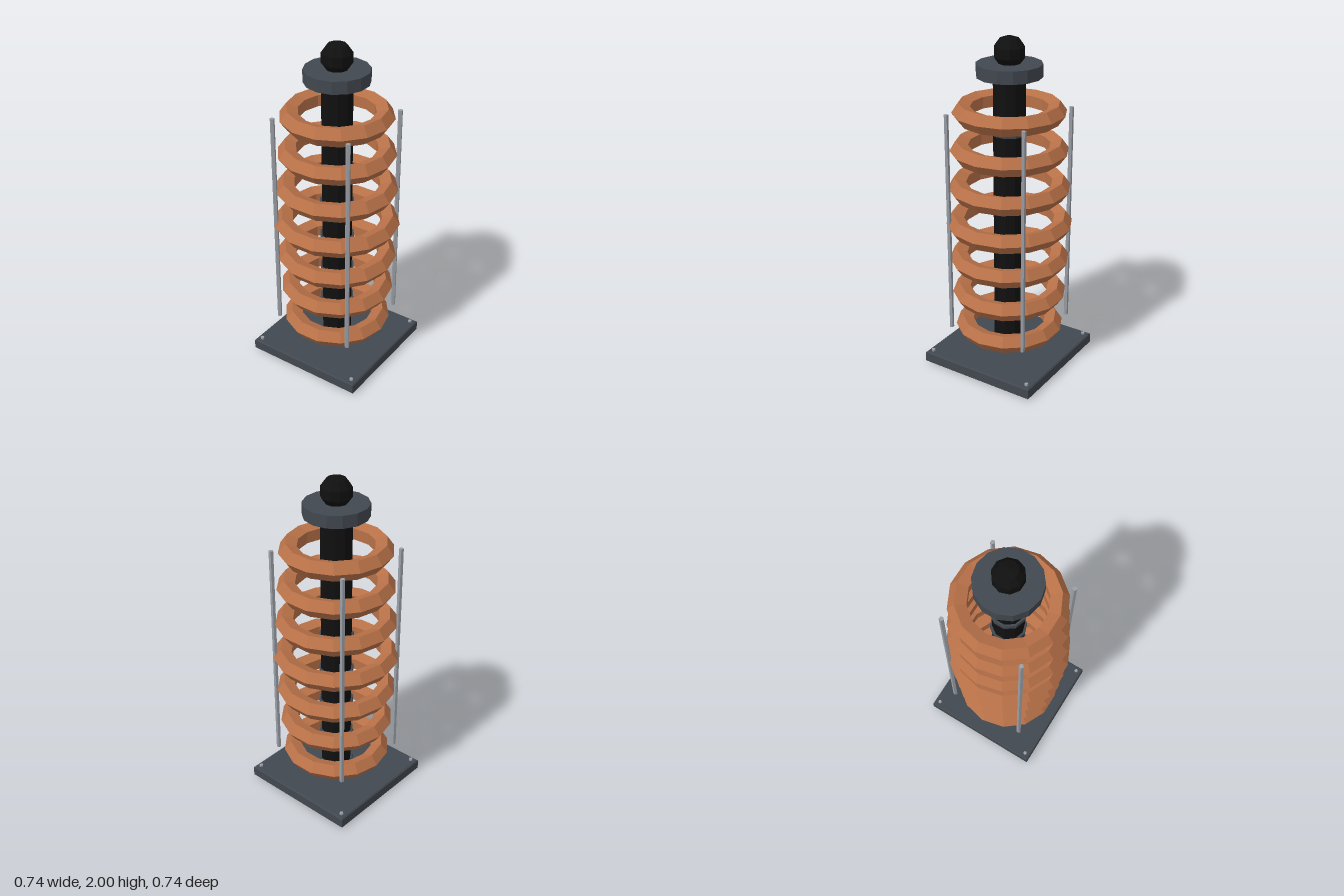
import * as THREE from 'three';

const mat = (color) => new THREE.MeshStandardMaterial({ color, flatShading: true });

export function createModel() {
  const model = new THREE.Group();
  const copper = mat(0xb87148), slate = mat(0x424850), black = mat(0x101010), steel = mat(0x9a9fa6);

  const add = (name, geometry, material, x, y, z) => {
    const mesh = new THREE.Mesh(geometry, material);
    mesh.name = name;
    mesh.position.set(x, y, z);
    model.add(mesh);
    return mesh;
  };
  const cylinder = (r, h, sides) => new THREE.CylinderGeometry(r, r, h, sides);

  // Square base plate with a small chamfer all round
  const half = 0.363, bevel = 0.007, plateHeight = 0.07;
  const square = new THREE.Shape([
    new THREE.Vector2(-half, -half), new THREE.Vector2(half, -half),
    new THREE.Vector2(half, half), new THREE.Vector2(-half, half),
  ]);
  const plate = new THREE.ExtrudeGeometry(square, {
    depth: plateHeight - 2 * bevel, bevelEnabled: true,
    bevelThickness: bevel, bevelSize: bevel, bevelSegments: 1,
  });
  plate.rotateX(-Math.PI / 2);
  add('basePlate', plate, slate, 0, bevel, 0);

  // Corner bolts
  for (const x of [-0.336, 0.336])
    for (const z of [-0.336, 0.336])
      add('baseBolt', cylinder(0.012, 0.02, 5), steel, x, 0.072, z);

  // Central core, top collar and ball
  add('core', cylinder(0.092, 1.76, 10), black, 0, 0.94, 0);
  add('topCollar', cylinder(0.187, 0.073, 14), slate, 0, 1.809, 0);
  add('topBall', new THREE.SphereGeometry(0.092, 10, 5), black, 0, 1.908, 0);

  // Coil rings, widest in the middle, each with a spacer on the core below it
  for (let i = 0; i < 7; i++) {
    const y = 0.227 + i * 0.224;
    const radius = 0.312 - 0.015 * Math.abs(i - 3);
    const ring = new THREE.TorusGeometry(radius, 0.058, 5, 14);
    ring.rotateX(Math.PI / 2);
    add('coilRing', ring, copper, 0, y, 0);
    add('coreSpacer', cylinder(0.104, 0.035, 10), slate, 0, y - 0.112, 0);
  }

  // Upright rods around the coil
  for (const [x, z] of [[-0.262, -0.249], [0.253, -0.255], [-0.265, 0.241], [0.249, 0.256]])
    add('supportRod', cylinder(0.014, 1.345, 5), steel, x, 0.899, z);

  return model;
}
